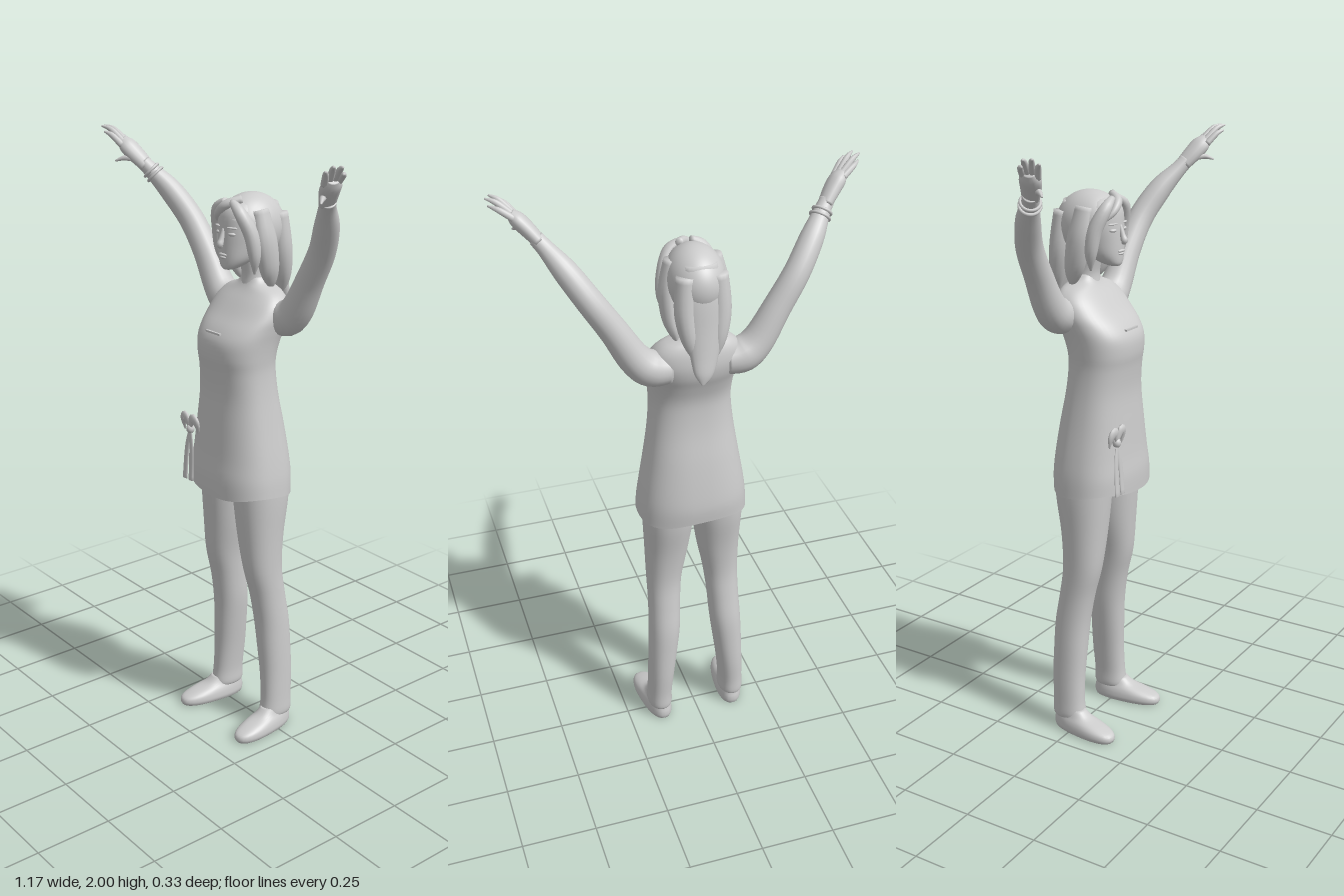
import * as THREE from 'three';

const grey = new THREE.MeshStandardMaterial({ color: 0xcccccc, side: THREE.DoubleSide });
grey.name = 'plain grey';

// Catmull-Rom smoothing of a table of rows
function smooth(rows, n) {
  const out = [], last = rows.length - 1;
  for (let i = 0; i < last; i++) for (let k = 0; k < n; k++) {
    const t = k / n, a = rows[Math.max(i - 1, 0)], b = rows[i], c = rows[i + 1], d = rows[Math.min(i + 2, last)];
    out.push(b.map((v, j) => {
      const cubic = 3 * (v - c[j]) + d[j] - a[j];
      const square = 2 * a[j] - 5 * v + 4 * c[j] - d[j];
      return v + 0.5 * t * (c[j] - a[j] + t * (square + t * cubic));
    }));
  }
  out.push(rows[last]);
  return out;
}

// Skin over closed rings of points; the end is capped, the start on request
function skin(rings, capStart = true) {
  const n = rings[0].length, pos = rings.flat().flatMap(p => p.toArray()), idx = [];
  for (let i = 0; i < rings.length - 1; i++) for (let j = 0; j < n; j++) {
    const a = i * n + j, b = i * n + (j + 1) % n;
    idx.push(a, a + n, b, b, a + n, b + n);
  }
  const cap = (r, flip) => {
    const c = pos.length / 3, m = new THREE.Vector3();
    rings[r].forEach(p => m.addScaledVector(p, 1 / n));
    pos.push(...m.toArray());
    for (let j = 0; j < n; j++) {
      const a = r * n + j, b = r * n + (j + 1) % n;
      if (flip) idx.push(c, a, b); else idx.push(c, b, a);
    }
  };
  if (capStart) cap(0, true);
  cap(rings.length - 1, false);
  const g = new THREE.BufferGeometry();
  g.setAttribute('position', new THREE.Float32BufferAttribute(pos, 3));
  g.setIndex(idx);
  g.computeVertexNormals();
  return g;
}

// Horizontal sections, bottom to top: [y, centre x, half width, front z, back z]
function loft(rows, { power = 2, seg = 32, side = 1, openBottom = false, wave = 0 } = {}) {
  const sc = v => Math.sign(v) * Math.pow(Math.abs(v), 2 / power);
  const rings = smooth(rows, 4).map(([y, cx, rx, zf, zb], i) => Array.from({ length: seg }, (_, j) => {
    const a = j / seg * Math.PI * 2;
    const drop = wave * Math.max(0, 1 - i / 5) * Math.sin(a * 3 + 0.6);
    return new THREE.Vector3(side * cx + rx * sc(Math.cos(a)), y + drop, (zf + zb) / 2 + (zf - zb) / 2 * sc(Math.sin(a)));
  }));
  return skin(rings, !openBottom);
}

// Tapered tube through [x, y, z, radius]; flat scales its depth
function limb(points, { side = 1, seg = 14, flat = 1 } = {}) {
  const rows = smooth(points, 5);
  const P = rows.map(r => new THREE.Vector3(r[0] * side, r[1], r[2]));
  const ref = new THREE.Vector3(0, 0, 1);
  return skin(P.map((p, i) => {
    const T = P[Math.min(i + 1, P.length - 1)].clone().sub(P[Math.max(i - 1, 0)]).normalize();
    const N = ref.clone().addScaledVector(T, -ref.dot(T)).normalize();
    const B = T.clone().cross(N), r = Math.max(rows[i][3], 0.001);
    return Array.from({ length: seg }, (_, j) => {
      const a = j / seg * Math.PI * 2;
      return p.clone().addScaledVector(N, r * flat * Math.cos(a)).addScaledVector(B, -r * Math.sin(a));
    });
  }));
}

export function createModel() {
  const model = new THREE.Group();
  const add = (name, geo, parent = model) => {
    const m = new THREE.Mesh(geo, grey);
    m.name = name;
    parent.add(m);
    return m;
  };
  const blob = (name, x, y, z, rx, ry, rz) => {
    const m = add(name, new THREE.SphereGeometry(1, 16, 12));
    m.position.set(x, y, z);
    m.scale.set(rx, ry, rz);
    return m;
  };

  // Tunic with an open, slightly wavy hem
  add('tunic', loft([
    [0.872, 0, 0.186, 0.158, -0.108], [0.93, 0, 0.182, 0.158, -0.112], [1.0, 0, 0.172, 0.15, -0.106],
    [1.1, 0, 0.155, 0.142, -0.092], [1.2, 0, 0.14, 0.135, -0.074], [1.28, 0, 0.133, 0.14, -0.067],
    [1.33, 0, 0.135, 0.147, -0.07], [1.38, 0, 0.14, 0.144, -0.085], [1.42, 0, 0.146, 0.122, -0.1],
    [1.46, 0, 0.15, 0.085, -0.106], [1.5, 0, 0.14, 0.05, -0.102], [1.53, 0, 0.11, 0.022, -0.092],
    [1.55, 0, 0.06, 0.008, -0.08], [1.57, 0, 0.04, 0.0, -0.07]], { power: 2.4, seg: 48, openBottom: true, wave: 0.008 }));
  add('neckline', new THREE.BoxGeometry(0.07, 0.006, 0.008)).position.set(0, 1.408, 0.132);
  add('neck', loft([[1.5, 0, 0.055, 0.02, -0.085], [1.56, 0, 0.04, 0.008, -0.068], [1.6, 0, 0.037, 0.012, -0.062],
    [1.67, 0, 0.04, 0.03, -0.06]], { seg: 24 }));

  // Head and face
  add('head', loft([
    [1.604, 0, 0.016, 0.086, 0.05], [1.614, 0, 0.034, 0.092, 0.02], [1.64, 0, 0.055, 0.094, -0.03],
    [1.68, 0, 0.068, 0.094, -0.08], [1.73, 0, 0.076, 0.092, -0.1], [1.78, 0, 0.072, 0.086, -0.1],
    [1.81, 0, 0.05, 0.06, -0.08], [1.822, 0, 0.02, 0.02, -0.04]], { power: 2.2 }));
  add('nose', limb([[0, 1.732, 0.088, 0.006], [0, 1.7, 0.098, 0.009], [0, 1.684, 0.104, 0.011], [0, 1.675, 0.098, 0.005]]));
  blob('upperLip', 0, 1.652, 0.093, 0.019, 0.005, 0.007);
  blob('lowerLip', 0, 1.643, 0.092, 0.015, 0.005, 0.007);
  for (const s of [-1, 1]) {
    blob('eye', s * 0.032, 1.718, 0.082, 0.014, 0.006, 0.009).rotation.y = s * 0.35;
    blob('eyebrow', s * 0.034, 1.738, 0.083, 0.019, 0.003, 0.008).rotation.y = s * 0.35;
  }

  // Hair cap tilted back off the face, side locks, fringe and long back fall
  const cap = add('hairCap', new THREE.SphereGeometry(1, 40, 24, 0, Math.PI * 2, 0, Math.PI * 0.6));
  cap.geometry.rotateX(-0.72);
  cap.position.set(0, 1.726, -0.019);
  cap.scale.set(0.093, 0.109, 0.117);
  for (const s of [-1, 1]) {
    add('frontLock', limb([[0.015, 1.815, 0.068, 0.01], [0.055, 1.785, 0.068, 0.019], [0.08, 1.72, 0.045, 0.022],
      [0.086, 1.65, 0.035, 0.018], [0.078, 1.595, 0.03, 0.003]], { side: s, flat: 1.1 }));
    add('sideLock', limb([[0.07, 1.79, 0.0, 0.02], [0.083, 1.7, -0.01, 0.028], [0.082, 1.62, -0.025, 0.026],
      [0.073, 1.57, -0.04, 0.018], [0.066, 1.535, -0.05, 0.003]], { side: s, flat: 1.4 }));
    add('backLock', limb([[0.05, 1.77, -0.09, 0.03], [0.055, 1.66, -0.1, 0.034], [0.045, 1.57, -0.115, 0.026],
      [0.03, 1.5, -0.125, 0.004]], { side: s }));
  }
  add('fringe', limb([[0.03, 1.822, 0.04, 0.012], [0.0, 1.805, 0.079, 0.015], [-0.035, 1.775, 0.085, 0.011],
    [-0.062, 1.745, 0.066, 0.003]]));
  add('backHair', limb([[0, 1.8, -0.08, 0.05], [0, 1.7, -0.092, 0.07], [0, 1.6, -0.11, 0.06],
    [0.005, 1.52, -0.13, 0.045], [0.012, 1.465, -0.147, 0.03], [0.018, 1.435, -0.158, 0.004]], { flat: 0.55, seg: 20 }));

  // Raised arms with hands
  const fingers = [
    [[0.51, 1.94, 0.085], [0.55, 1.965, 0.103], [0.577, 1.972, 0.127]],
    [[0.51, 1.945, 0.1], [0.553, 1.982, 0.118], [0.583, 1.992, 0.135]],
    [[0.505, 1.943, 0.113], [0.542, 1.982, 0.135], [0.568, 1.993, 0.155]],
    [[0.497, 1.935, 0.124], [0.525, 1.967, 0.145], [0.543, 1.978, 0.162]],
    [[0.462, 1.89, 0.09], [0.487, 1.895, 0.12], [0.508, 1.885, 0.145]]];
  for (const s of [-1, 1]) {
    const arm = new THREE.Group();
    arm.name = s > 0 ? 'leftArm' : 'rightArm';
    model.add(arm);
    add('armLimb', limb([[0.09, 1.45, -0.045, 0.05], [0.15, 1.458, -0.045, 0.058], [0.2, 1.5, -0.045, 0.052],
      [0.26, 1.6, -0.041, 0.045], [0.325, 1.7, -0.028, 0.042], [0.385, 1.79, 0.01, 0.038],
      [0.43, 1.85, 0.05, 0.027], [0.455, 1.88, 0.07, 0.024]], { side: s, seg: 20 }), arm);
    add('palm', limb([[0.445, 1.87, 0.063, 0.02], [0.475, 1.905, 0.085, 0.024], [0.5, 1.932, 0.1, 0.024],
      [0.518, 1.95, 0.108, 0.014]], { side: s, flat: 1.35 }), arm);
    fingers.forEach((f, i) => add(i < 4 ? 'finger' : 'thumb',
      limb(f.map((p, k) => [...p, [0.011, 0.009, 0.003][k]]), { side: s, seg: 8 }), arm));
  }

  // Two bracelets on the right wrist
  const along = new THREE.Vector3(-0.045, 0.06, 0.04).normalize();
  for (const k of [0, 1]) {
    const ring = add('bracelet', new THREE.TorusGeometry(0.031 - k * 0.002, 0.005, 8, 28));
    ring.position.set(-0.424, 1.842, 0.045).addScaledVector(along, k * 0.018);
    ring.quaternion.setFromUnitVectors(new THREE.Vector3(0, 0, 1), along);
  }

  // Trouser legs and shoes
  for (const s of [-1, 1]) {
    add('trouserLeg', loft([
      [0.045, 0.135, 0.036, 0.032, -0.074], [0.06, 0.135, 0.043, 0.038, -0.08], [0.11, 0.134, 0.042, 0.032, -0.08],
      [0.2, 0.128, 0.045, 0.03, -0.085], [0.3, 0.12, 0.05, 0.034, -0.084], [0.4, 0.112, 0.054, 0.04, -0.08],
      [0.5, 0.107, 0.055, 0.055, -0.065], [0.6, 0.102, 0.06, 0.078, -0.054], [0.72, 0.092, 0.073, 0.09, -0.063],
      [0.85, 0.086, 0.084, 0.1, -0.085], [0.95, 0.083, 0.085, 0.105, -0.09]], { side: s, power: 2.2 }));
    const shoe = add('shoe', loft([
      [0, 0, 0.043, 0.125, -0.113], [0.012, 0, 0.048, 0.13, -0.117], [0.028, 0, 0.047, 0.122, -0.117],
      [0.042, 0, 0.043, 0.085, -0.114], [0.058, 0, 0.036, 0.03, -0.11], [0.08, 0, 0.03, 0.0, -0.1]], { power: 2.4 }));
    shoe.position.set(s * 0.143, 0, 0.038);
    shoe.rotation.y = s * 0.13;
  }

  // Tied bow at the right hip: knot, two loops, two tails
  blob('bowKnot', -0.11, 1.06, 0.147, 0.014, 0.016, 0.014);
  for (const s of [-1, 1]) {
    add('bowLoop', limb([[-0.11, 1.06, 0.148, 0.006], [-0.11 + s * 0.018, 1.1, 0.152, 0.016],
      [-0.11 + s * 0.035, 1.085, 0.148, 0.015], [-0.11 + s * 0.036, 1.05, 0.142, 0.003]], { flat: 0.5 }));
    add('bowTail', limb([[-0.11, 1.06, 0.148, 0.007], [-0.11 + s * 0.012, 0.99, 0.153, 0.011],
      [-0.11 + s * 0.016, 0.885, 0.16, 0.012]], { flat: 0.35 }));
  }
  return model;
}
